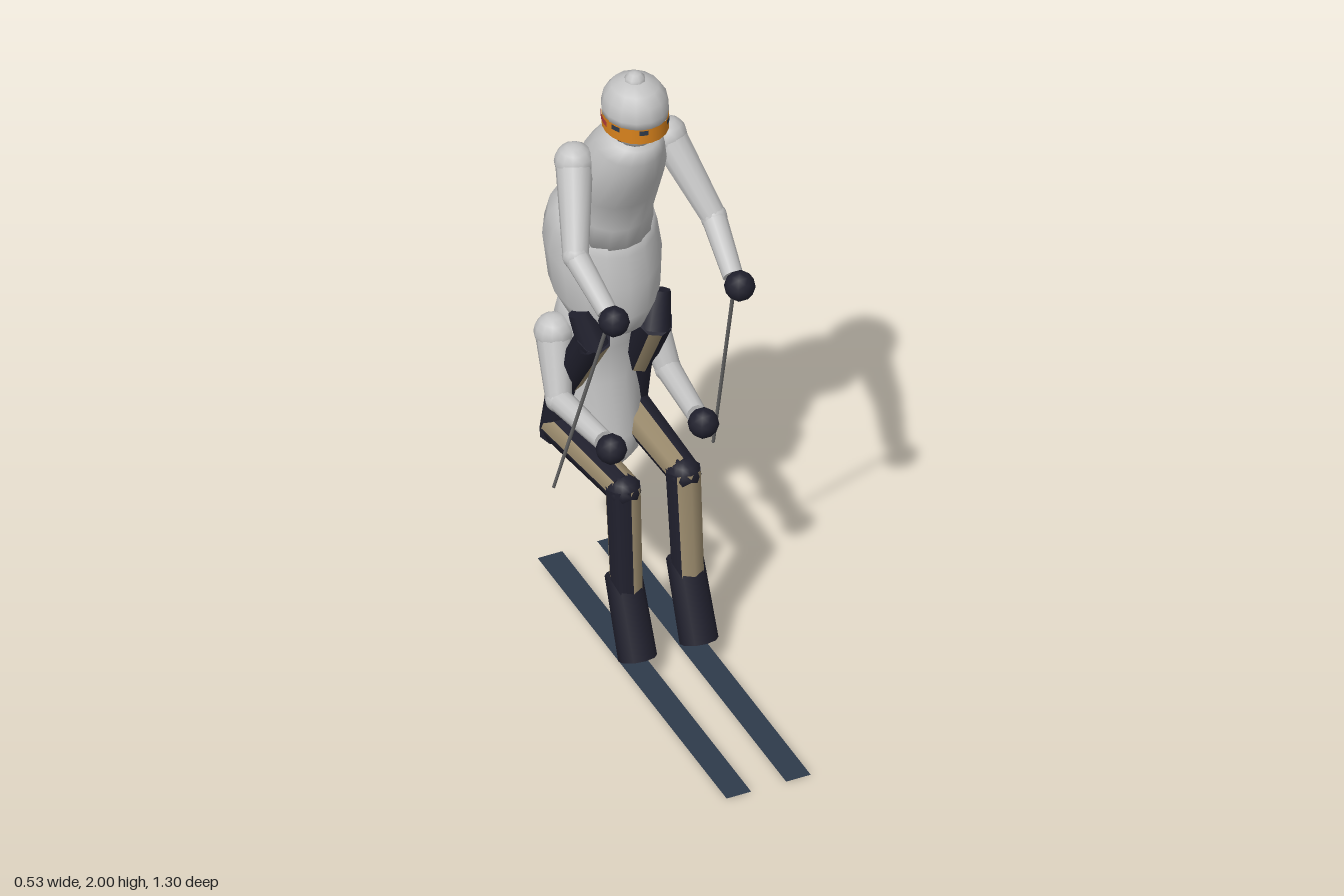
import * as THREE from 'three';

const mat = (name, color, side = THREE.FrontSide) => {
  const m = new THREE.MeshStandardMaterial({ color, side });
  m.name = name;
  return m;
};

export function createModel() {
  const root = new THREE.Group();
  root.name = 'skier';
  const grey = mat('lightGrey', 0xc4c4c4);
  const dark = mat('darkNavy', 0x20202d);
  const tan = mat('tan', 0x9c8c6e);
  const orange = mat('orange', 0xd8821c, THREE.DoubleSide);
  const red = mat('red', 0xb03a3a, THREE.DoubleSide);
  const blue = mat('slateBlue', 0x2e3a4a, THREE.DoubleSide);
  const steel = mat('steel', 0x6a6a6a);
  const V = (a) => new THREE.Vector3(...a);

  const add = (name, geo, material, pos = [0, 0, 0], parent = root) => {
    const m = new THREE.Mesh(geo, material);
    m.name = name;
    m.position.set(...pos);
    parent.add(m);
    return m;
  };

  // Closed body from oval rings: [front y, front z, back y, back z, half width]
  function loft(name, rings, n = 16) {
    const pos = [], idx = [];
    const last = rings.length - 1;
    for (const [fy, fz, by, bz, w] of rings) {
      for (let j = 0; j < n; j++) {
        const a = (j / n) * Math.PI * 2, c = Math.cos(a);
        pos.push(w * Math.sin(a), (fy + by) / 2 + c * (fy - by) / 2, (fz + bz) / 2 + c * (fz - bz) / 2);
      }
    }
    for (const r of [rings[0], rings[last]]) pos.push(0, (r[0] + r[2]) / 2, (r[1] + r[3]) / 2);
    const top = rings.length * n;
    for (let j = 0; j < n; j++) {
      const k = (j + 1) % n;
      for (let i = 0; i < last; i++) {
        const a = i * n + j, b = i * n + k;
        idx.push(a, a + n, b, b, a + n, b + n);
      }
      idx.push(top, j, k, top + 1, last * n + k, last * n + j);
    }
    const g = new THREE.BufferGeometry();
    g.setAttribute('position', new THREE.Float32BufferAttribute(pos, 3));
    g.setIndex(idx);
    g.computeVertexNormals();
    return add(name, g, grey);
  }

  // Tapered limb from a to b; faces listed in tanFaces take the tan colour
  function limb(name, a, b, ra, rb, material, parent, tanFaces = null, sides = 12) {
    const A = V(a), B = V(b), d = B.clone().sub(A);
    const n = tanFaces ? 8 : sides;
    const g = new THREE.CylinderGeometry(rb, ra, d.length(), n);
    if (tanFaces) {
      g.clearGroups();
      for (let i = 0; i < n; i++) g.addGroup(i * 6, 6, tanFaces.includes(i) ? 1 : 0);
      g.addGroup(n * 6, n * 6, 0);
    }
    const m = add(name, g, tanFaces ? [dark, tan] : material, A.clone().add(B).multiplyScalar(0.5).toArray(), parent);
    m.quaternion.setFromUnitVectors(new THREE.Vector3(0, 1, 0), d.normalize());
    return m;
  }
  const ball = (name, p, r, material, parent) => add(name, new THREE.SphereGeometry(r, 12, 8), material, p, parent);

  // Bodies
  loft('chest', [
    [1.755, -0.175, 1.79, -0.31, 0.075], [1.70, -0.18, 1.76, -0.37, 0.105],
    [1.62, -0.19, 1.69, -0.43, 0.125], [1.50, -0.26, 1.59, -0.48, 0.143],
    [1.40, -0.285, 1.50, -0.52, 0.128], [1.30, -0.30, 1.42, -0.56, 0.14]]);
  loft('pelvis', [
    [1.37, -0.305, 1.435, -0.55, 0.135], [1.30, -0.29, 1.39, -0.625, 0.16],
    [1.20, -0.27, 1.32, -0.65, 0.173], [1.09, -0.27, 1.17, -0.62, 0.163],
    [1.03, -0.285, 1.06, -0.585, 0.12], [1.0, -0.36, 1.01, -0.52, 0.05]]);
  loft('lowerBody', [
    [1.08, -0.40, 1.08, -0.585, 0.11], [1.0, -0.38, 1.0, -0.60, 0.13],
    [0.90, -0.40, 0.90, -0.605, 0.135], [0.78, -0.40, 0.78, -0.625, 0.135],
    [0.60, -0.355, 0.58, -0.63, 0.13], [0.53, -0.35, 0.53, -0.625, 0.12],
    [0.48, -0.39, 0.48, -0.59, 0.09], [0.455, -0.45, 0.455, -0.54, 0.04]]);

  // Head, hat and goggles
  const head = new THREE.Group();
  head.name = 'head';
  head.position.set(0, 0, -0.24);
  root.add(head);
  ball('face', [0, 1.82, 0.005], 0.072, grey, head);
  limb('neck', [0, 1.74, -0.03], [0, 1.83, -0.02], 0.062, 0.068, dark, head);
  const profile = [[0, 1.85], [0.095, 1.852], [0.1, 1.885], [0.092, 1.925], [0.07, 1.955], [0.035, 1.973], [0, 1.978]];
  const hat = add('hat', new THREE.LatheGeometry(profile.map((p) => new THREE.Vector2(...p)), 14), grey, [0, 0, 0], head);
  hat.scale.z = 1.08;
  add('pompom', new THREE.SphereGeometry(0.034, 8, 6), grey, [0, 1.966, 0], head);
  const arc = (name, material, r, y, h, from, sweep, n) => {
    const g = new THREE.CylinderGeometry(r, r, h, n, 1, true, THREE.MathUtils.degToRad(from), THREE.MathUtils.degToRad(sweep));
    add(name, g, material, [0, y, 0.002], head).scale.z = 1.13;
  };
  arc('goggleBand', orange, 0.097, 1.841, 0.05, 0, 360, 20);
  arc('bandPatch', red, 0.099, 1.848, 0.018, 230, 45, 4);
  for (const a of [-22, 38, -72]) arc('lensPatch', blue, 0.099, 1.856, 0.016, a, 16, 2);

  for (const s of [1, -1]) {
    const side = s > 0 ? 'left' : 'right';
    const P = (x, y, z) => [s * x, y, z];
    const faces = (list) => list.map((i) => (s > 0 ? i : 7 - i));

    // Two pairs of bent arms with gloves
    const arms = [
      ['Upper', P(0.152, 1.665, -0.335), P(0.225, 1.45, -0.175), P(0.205, 1.352, -0.005), P(0.205, 1.345, 0.04)],
      ['Lower', P(0.15, 0.962, -0.475), P(0.178, 0.785, -0.385), P(0.152, 0.785, -0.14), P(0.15, 0.785, -0.09)]];
    for (const [level, shoulder, elbow, wrist, hand] of arms) {
      const arm = new THREE.Group();
      arm.name = `${side}${level}Arm`;
      root.add(arm);
      ball('shoulder', shoulder, 0.06, grey, arm);
      limb('sleeve', elbow, shoulder, 0.039, 0.056, grey, arm);
      ball('elbow', elbow, 0.041, grey, arm);
      limb('forearm', wrist, elbow, 0.031, 0.038, grey, arm);
      add('glove', new THREE.IcosahedronGeometry(0.047, 1), dark, hand, arm);
    }
    limb(`${side}Pole`, P(0.26, 0.58, -0.25), P(0.203, 1.34, 0.01), 0.005, 0.006, steel, root, null, 6);

    // Folded legs with tan trouser panels
    const leg = new THREE.Group();
    leg.name = `${side}Leg`;
    root.add(leg);
    limb('hip', P(0.1, 1.0, -0.31), P(0.13, 1.11, -0.345), 0.05, 0.036, dark, leg, null, 8);
    limb('upperThigh', P(0.115, 0.8, -0.45), P(0.1, 1.03, -0.31), 0.047, 0.054, dark, leg, faces([7]));
    limb('hindLeg', P(0.12, 0.555, -0.525), P(0.115, 0.88, -0.45), 0.05, 0.05, dark, leg, null, 8);
    limb('thigh', P(0.115, 0.597, -0.51), P(0.098, 0.61, -0.11), 0.06, 0.05, dark, leg, faces([2, 4, 5]));
    ball('knee', P(0.098, 0.605, -0.115), 0.052, dark, leg);
    limb('shin', P(0.1, 0.25, -0.09), P(0.098, 0.62, -0.12), 0.05, 0.055, dark, leg, faces(s > 0 ? [7, 0] : [7, 2]));
    limb('boot', P(0.1, 0.065, -0.017), P(0.1, 0.31, -0.115), 0.058, 0.055, dark, leg, null, 10);

    // Thin ski sloping down to the front
    const ski = add(`${side}Ski`, new THREE.PlaneGeometry(0.08, 1.263), blue, [s * 0.097, 0.0275, 0.022]);
    ski.rotation.x = -Math.PI / 2 + Math.atan2(0.055, 1.262);
  }
  return root;
}
